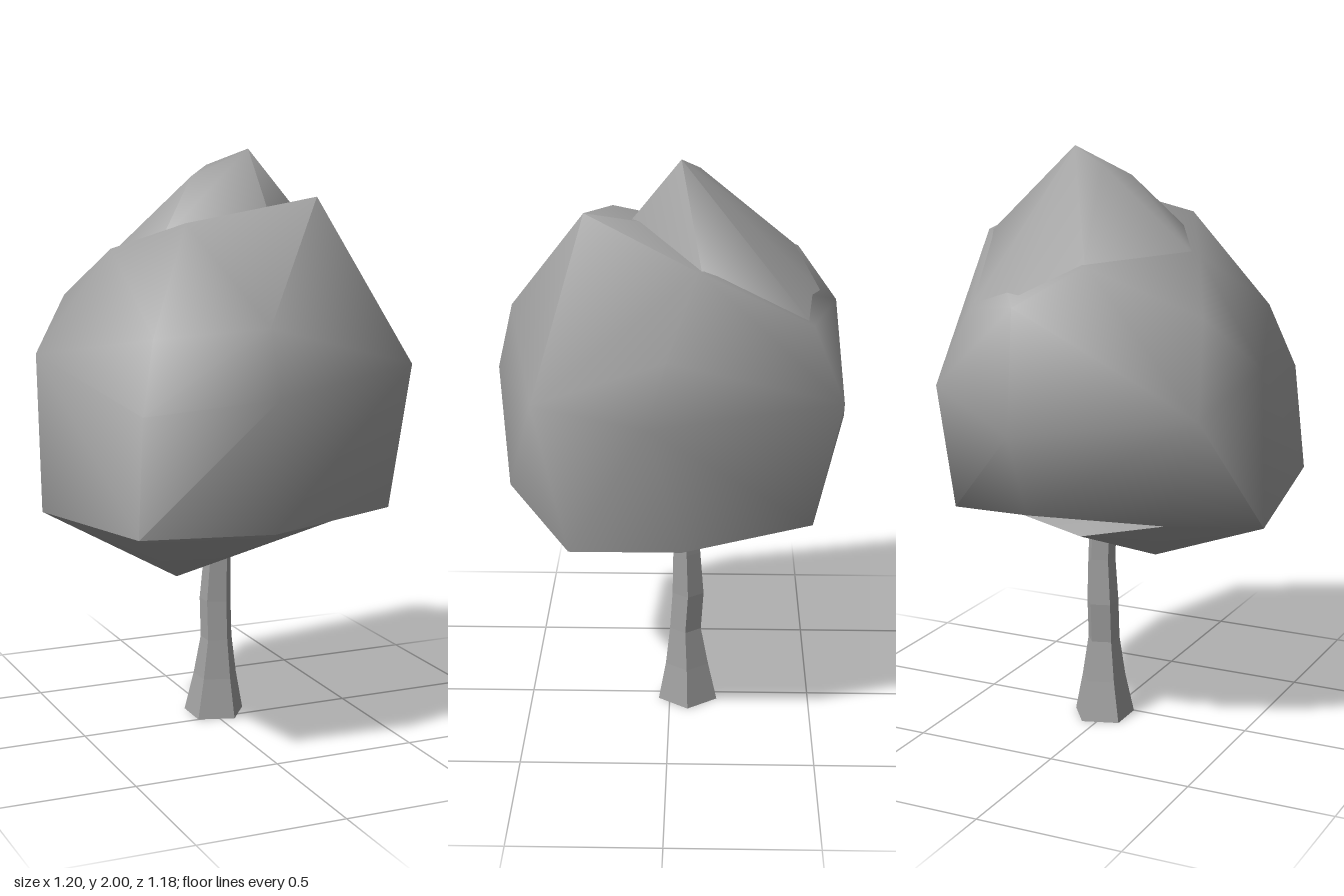
import * as THREE from 'three';
import { toCreasedNormals } from 'three/addons/utils/BufferGeometryUtils.js';
import { ConvexGeometry } from 'three/addons/geometries/ConvexGeometry.js';

// Low-poly leaf mass: hull of a few corner points, smoothly shaded except at the sharpest folds
function leafMass(name, corners, material) {
  const hull = new ConvexGeometry(corners.map((c) => new THREE.Vector3(...c)));
  const mesh = new THREE.Mesh(toCreasedNormals(hull, 1.25), material);
  mesh.name = name;
  return mesh;
}

// Five-sided trunk flaring at the foot; each ring is [y, radius, x, z]
function trunk(material) {
  const rings = [
    [0, 0.11, 0.015, -0.065],
    [0.14, 0.08, 0.018, -0.062],
    [0.28, 0.058, 0.02, -0.056],
    [0.42, 0.058, 0.02, -0.065],
    [0.58, 0.05, 0.026, -0.06],
    [0.7, 0.05, 0.022, -0.055],
  ];
  const n = rings.length - 1;
  const geo = new THREE.CylinderGeometry(1, 1, 1, 5, n, false, Math.PI / 2).toNonIndexed();
  const p = geo.attributes.position;
  for (let i = 0; i < p.count; i++) {
    const [y, r, x, z] = rings[Math.round((p.getY(i) + 0.5) * n)];
    p.setXYZ(i, p.getX(i) * r + x, y, p.getZ(i) * r + z);
  }
  geo.computeVertexNormals();
  const mesh = new THREE.Mesh(geo, material);
  mesh.name = 'trunk';
  return mesh;
}

export function createModel() {
  const grey = new THREE.MeshStandardMaterial({ color: 0xa0a0a0 });
  grey.name = 'grey';
  const group = new THREE.Group();
  group.name = 'tree';

  // Main body of the foliage, ending in a raised lip at the front
  const body = [
    // rim
    [-0.5, 0.82, 0.545], [-0.04, 0.8, 0.565], [0.5, 0.79, 0.32], [0.5, 0.79, -0.05],
    [0.36, 0.83, -0.48], [0.08, 0.84, -0.5], [-0.35, 0.82, -0.36], [-0.6, 0.78, -0.12],
    // belly
    [-0.47, 1.2, 0.51], [-0.04, 1.24, 0.59], [0.52, 1.3, 0.43], [0.6, 1.25, 0.06],
    [0.37, 1.26, -0.57], [0.1, 1.12, -0.59], [-0.5, 1.2, -0.45], [-0.6, 1.32, -0.16],
    // shoulder
    [-0.4, 1.43, 0.42], [-0.05, 1.46, 0.54], [0.4, 1.5, 0.36], [0.54, 1.45, 0],
    [0.3, 1.5, -0.47], [0.1, 1.53, -0.55], [-0.45, 1.5, -0.3],
    // lip and upper back
    [-0.2, 1.77, 0.2], [0.24, 1.85, 0.27], [0.43, 1.71, -0.1],
    [-0.1, 1.66, -0.43], [-0.35, 1.67, -0.1],
  ];

  // Sagging underside, lowest towards the front left
  const underside = [
    [-0.3, 0.64, 0.36], [-0.2, 0.625, 0.1], [-0.2, 0.63, -0.1], [0.05, 0.655, -0.09],
    [0.3, 0.77, 0], [0.24, 0.79, -0.32], [-0.08, 0.77, -0.43], [-0.35, 0.82, -0.36],
    [-0.6, 0.78, -0.12], [-0.5, 0.82, 0.545], [-0.04, 0.8, 0.565], [0.4, 0.8, 0.35],
    [0, 1, 0],
  ];

  // Pointed top rising behind the lip
  const crown = [
    [0.13, 2, -0.04], [-0.08, 1.91, -0.04], [0, 1.945, -0.1],
    [0.13, 1.62, 0.27], [-0.25, 1.7, 0.1], [-0.34, 1.66, -0.1],
    [-0.1, 1.655, -0.43], [0.1, 1.52, -0.54], [0.3, 1.5, -0.465], [0.42, 1.7, -0.11],
    [0, 1.2, 0],
  ];

  group.add(
    leafMass('foliageBody', body, grey),
    leafMass('foliageUnderside', underside, grey),
    leafMass('foliageCrown', crown, grey),
    trunk(grey),
  );
  return group;
}
